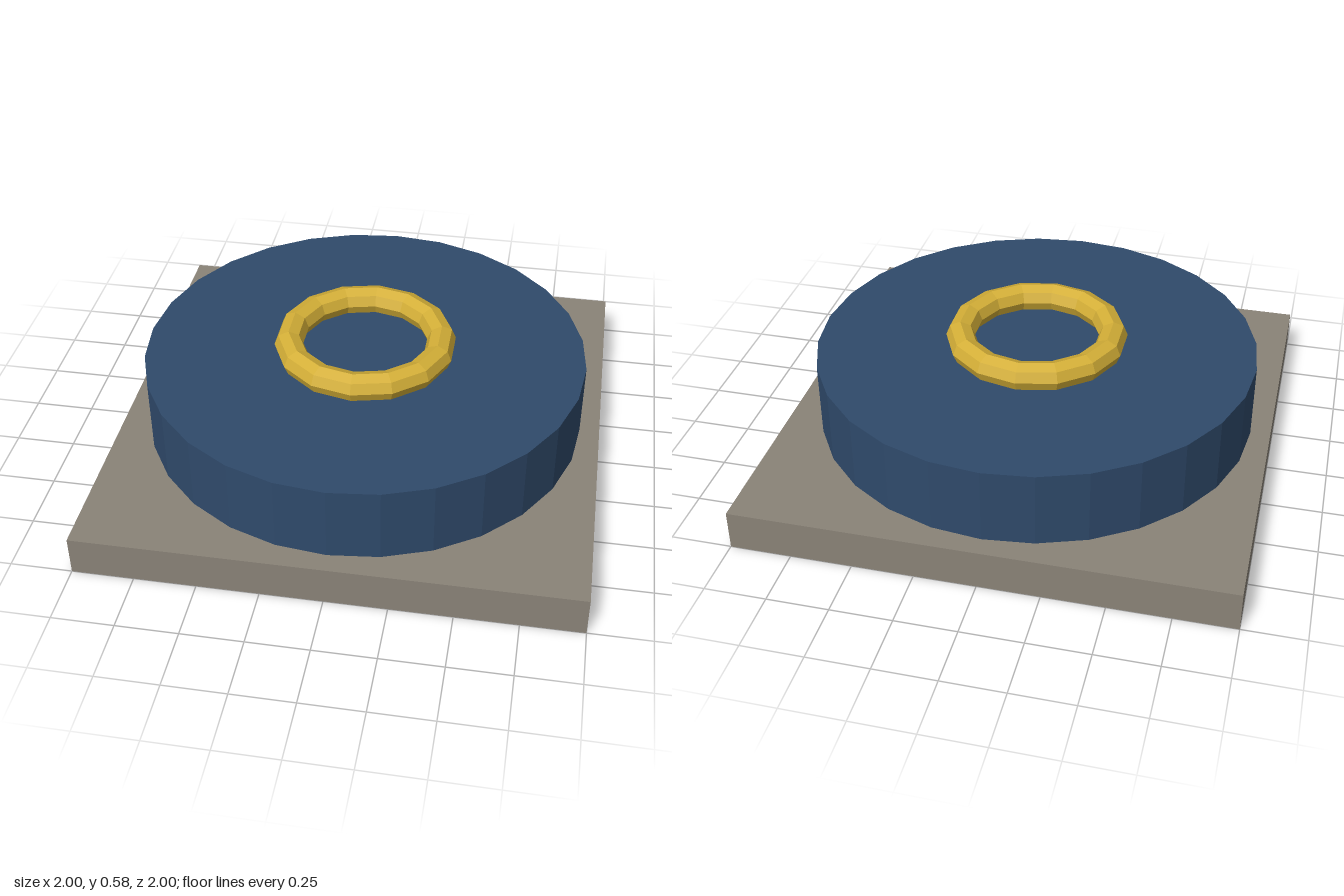
import * as THREE from 'three';

export function createModel() {
  const group = new THREE.Group();

  function addPart(name, geometry, color, y) {
    const material = new THREE.MeshStandardMaterial({ color, flatShading: true });
    const mesh = new THREE.Mesh(geometry, material);
    mesh.name = name;
    mesh.position.y = y;
    group.add(mesh);
  }

  const baseTop = 0.165;
  const drumTop = 0.48;

  // Square stone slab
  addPart('basePlate', new THREE.BoxGeometry(2, baseTop, 2), 0x8a8378, baseTop / 2);

  // Round faceted drum standing on the slab
  const drumHeight = drumTop - baseTop;
  addPart('drum', new THREE.CylinderGeometry(0.917, 0.917, drumHeight, 28), 0x2f4a6b, baseTop + drumHeight / 2);

  // Gold ring partly sunk into the drum, with its corners on the z axis
  const ring = new THREE.TorusGeometry(0.318, 0.06, 8, 14);
  ring.rotateX(Math.PI / 2).rotateY(Math.PI / 2);
  addPart('ring', ring, 0xd4af37, 0.52);

  return group;
}
